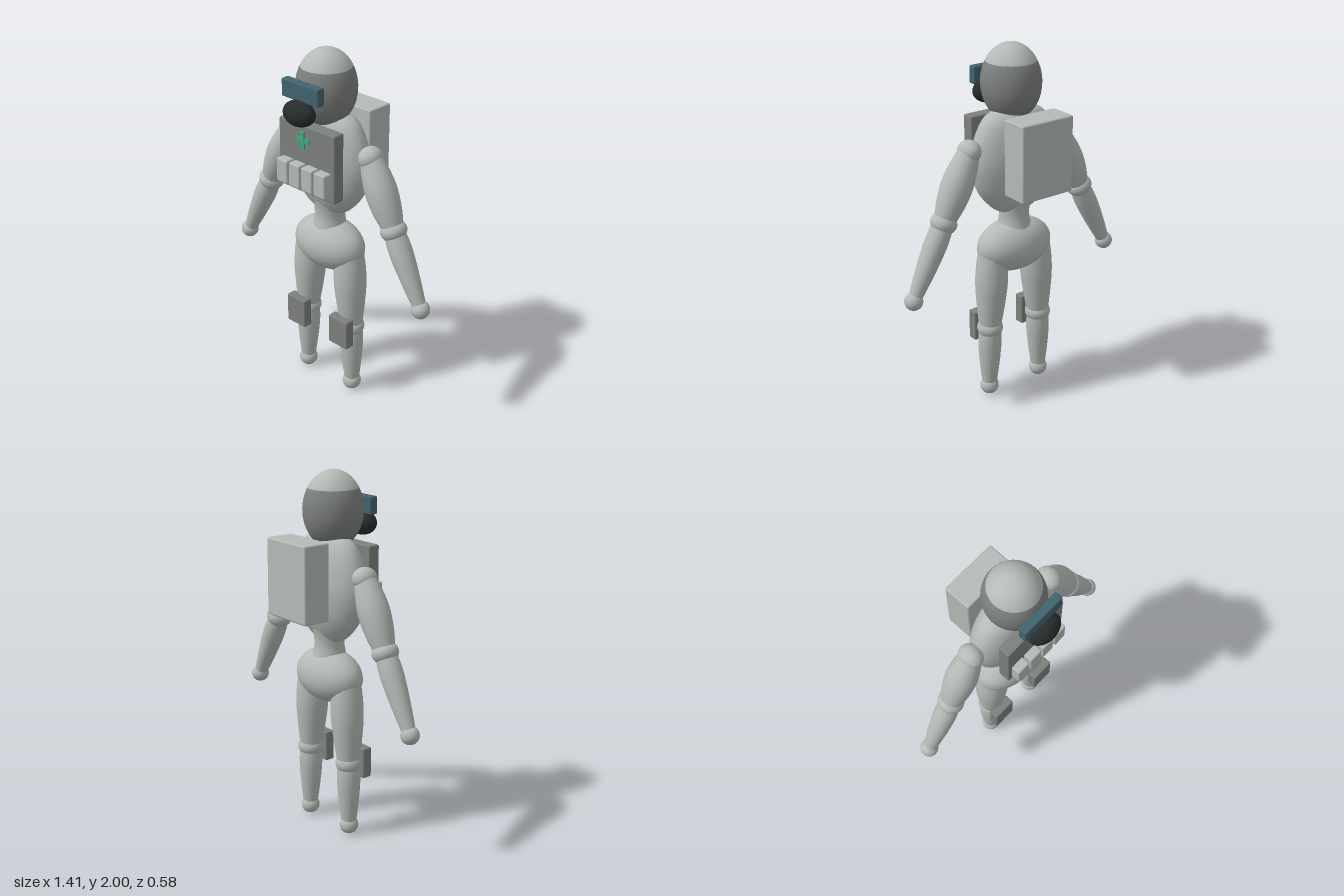
import * as THREE from 'three';
import { RoundedBoxGeometry } from 'three/addons/geometries/RoundedBoxGeometry.js';

const material = (name, color) => {
  const m = new THREE.MeshStandardMaterial({ color });
  m.name = name;
  return m;
};

export function createModel() {
  const suit = material('suit pale grey', 0xb4bbb7);
  const armour = material('armour grey', 0x7d817d);
  const lens = material('goggle blue', 0x41636f);
  const rubber = material('mask black', 0x262d2c);
  const green = material('badge green', 0x3cab80);

  const model = new THREE.Group();
  model.name = 'armouredFigure';

  const add = (name, geometry, mat, x, y, z) => {
    const mesh = new THREE.Mesh(geometry, mat);
    mesh.name = name;
    mesh.position.set(x, y, z);
    model.add(mesh);
    return mesh;
  };
  const ball = (name, mat, x, y, z, rx, ry = rx, rz = rx) =>
    add(name, new THREE.SphereGeometry(1, 32, 20).scale(rx, ry, rz), mat, x, y, z);
  // Box given by its lower and upper corners
  const box = (name, mat, [x0, y0, z0], [x1, y1, z1], r = 0.008) =>
    add(name, new RoundedBoxGeometry(x1 - x0, y1 - y0, z1 - z0, 2, r), mat,
      (x0 + x1) / 2, (y0 + y1) / 2, (z0 + z1) / 2);
  // Smooth lathe through [radius, height] points
  const turned = (points) => {
    const curve = new THREE.SplineCurve(points.map(([r, y]) => new THREE.Vector2(r, y)));
    return new THREE.LatheGeometry(curve.getPoints(28).map((p) => p.setX(Math.max(p.x, 0))), 32);
  };
  // Tapered limb from a to b; profile is [radius, fraction of the length]
  const limb = (name, a, b, profile) => {
    const from = new THREE.Vector3(...a);
    const dir = new THREE.Vector3(...b).sub(from);
    const len = dir.length();
    const mesh = add(name, turned(profile.map(([r, t]) => [r, t * len])), suit, ...a);
    mesh.quaternion.setFromUnitVectors(new THREE.Vector3(0, 1, 0), dir.normalize());
    return mesh;
  };

  // Head: pale crown over a grey hood
  const split = Math.acos(0.548);
  const headPart = (name, mat, start, length) =>
    add(name, new THREE.SphereGeometry(1, 40, 20, 0, Math.PI * 2, start, length)
      .scale(0.161, 0.21, 0.163), mat, 0, 1.79, 0.025);
  headPart('crown', suit, 0, split);
  headPart('hood', armour, split, Math.PI - split);
  box('goggles', lens, [-0.13, 1.76, 0.172], [0.13, 1.857, 0.22]);
  ball('breathingMask', rubber, 0, 1.7, 0.222, 0.098, 0.068, 0.067);

  // Torso, waist and hips
  add('torso', turned([[0, 1.07], [0.085, 1.09], [0.155, 1.135], [0.232, 1.235], [0.265, 1.36],
    [0.258, 1.46], [0.23, 1.55], [0.18, 1.625], [0.1, 1.66], [0, 1.67]]).scale(1, 1, 0.53),
  suit, 0, 0, 0);
  add('waist', turned([[0.1, 0.97], [0.086, 1.03], [0.082, 1.07], [0.086, 1.12], [0.1, 1.18]]),
    suit, 0, 0, 0);
  ball('hips', suit, 0, 0.886, 0, 0.228, 0.148, 0.143);

  // Chest plate, pouches, badge and backpack
  box('chestPlate', armour, [-0.2, 1.235, 0.105], [0.2, 1.615, 0.175]);
  for (let i = 0; i < 4; i++) {
    const x = (i - 1.5) * 0.0905;
    box('pouch', suit, [x - 0.04, 1.27, 0.165], [x + 0.04, 1.405, 0.225], 0.01);
  }
  add('badgeUpright', new THREE.BoxGeometry(0.025, 0.095, 0.009), green, 0, 1.547, 0.2);
  add('badgeBar', new THREE.BoxGeometry(0.092, 0.025, 0.008), green, 0, 1.547, 0.2);
  box('backpack', suit, [-0.163, 1.24, -0.29], [0.163, 1.657, -0.13], 0.01);

  for (const [side, s] of [['left', 1], ['right', -1]]) {
    // Arm
    const shoulder = [s * 0.288, 1.475, 0];
    const elbow = [s * 0.456, 1.118, 0];
    const wrist = [s * 0.655, 0.727, 0];
    ball(side + 'Shoulder', suit, ...shoulder, 0.06, 0.06, 0.07);
    limb(side + 'UpperArm', shoulder, elbow,
      [[0.056, 0], [0.074, 0.2], [0.085, 0.45], [0.077, 0.72], [0.055, 1]]);
    const joint = ball(side + 'Elbow', suit, ...elbow, 0.072, 0.058, 0.072);
    joint.rotation.z = s * 0.45;
    limb(side + 'Forearm', elbow, wrist,
      [[0.055, 0], [0.062, 0.2], [0.06, 0.4], [0.049, 0.7], [0.034, 1]]);
    ball(side + 'Hand', suit, ...wrist, 0.05);

    // Leg
    const hip = [s * 0.145, 0.88, 0];
    const knee = [s * 0.167, 0.418, 0];
    const ankle = [s * 0.174, 0.052, 0];
    limb(side + 'Thigh', hip, knee,
      [[0.078, 0], [0.088, 0.22], [0.089, 0.45], [0.077, 0.72], [0.06, 1]]);
    ball(side + 'Knee', suit, ...knee, 0.072, 0.06, 0.072);
    limb(side + 'Shin', knee, ankle,
      [[0.06, 0], [0.065, 0.22], [0.061, 0.45], [0.05, 0.75], [0.038, 1]]);
    ball(side + 'Foot', suit, ...ankle, 0.052);
    const pad = box(side + 'KneePad', armour, [-0.069, 0.33, 0.052], [0.069, 0.502, 0.11]);
    pad.position.x = s * 0.163;
  }
  return model;
}
